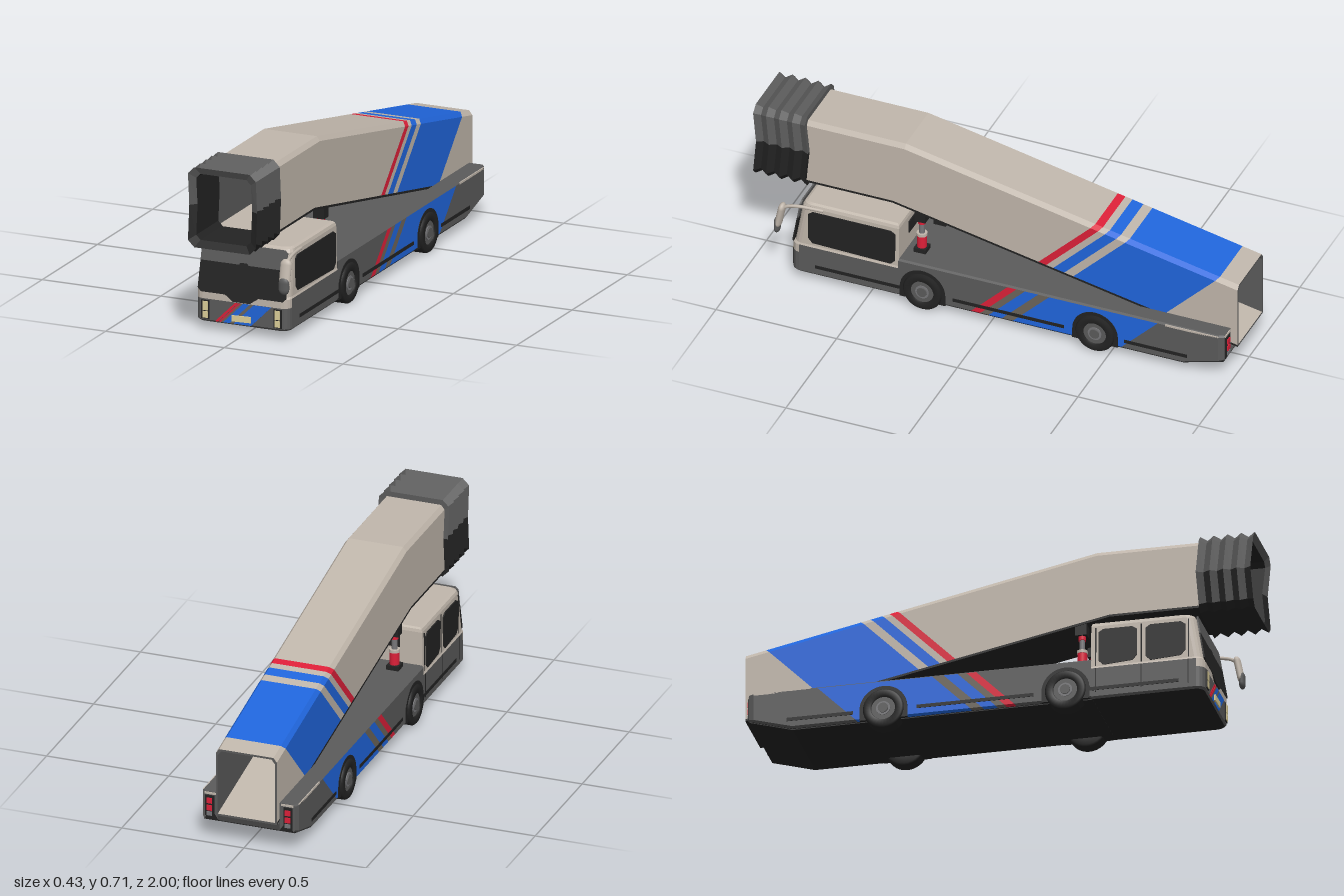
import * as THREE from 'three';

const mat = (name, color) => Object.assign(
  new THREE.MeshStandardMaterial({ color, side: THREE.DoubleSide }), { name });

export function createModel() {
  const beige = mat('beige paint', 0xc1b7ac), blue = mat('blue paint', 0x2066dd);
  const red = mat('red paint', 0xde2039), grey = mat('charcoal', 0x5b5b5b);
  const black = mat('black', 0x232323), taupe = mat('taupe', 0x6c655b);
  const lamp = mat('lamp yellow', 0xdfd19a), steel = mat('steel', 0x77777a);
  const palette = [beige, blue, red, grey, black, taupe];

  const model = new THREE.Group();
  model.name = 'boardingStairsVehicle';
  const root = new THREE.Group();
  root.name = 'vehicle';
  root.position.x = -0.01;
  model.add(root);

  const add = (name, geo, material, x = 0, y = 0, z = 0, parent = root) => {
    const m = new THREE.Mesh(geo, material);
    m.name = name;
    m.position.set(x, y, z);
    parent.add(m);
    return m;
  };
  const box = (name, material, w, h, d, x, y, z, parent) =>
    add(name, new THREE.BoxGeometry(w, h, d), material, x, y, z, parent);

  // Flat-faced skin over closed loops of [x, y, z]; pick(i, j) gives each face's colour
  const loft = (name, loops, pick, parent) => {
    const pos = [], geo = new THREE.BufferGeometry();
    for (let i = 0; i + 1 < loops.length; i++) {
      const p = loops[i], q = loops[i + 1], n = p.length;
      for (let j = 0; j < n; j++) {
        const k = (j + 1) % n;
        geo.addGroup(pos.length / 3, 6, palette.indexOf(pick(i, j)));
        pos.push(...p[j], ...p[k], ...q[k], ...p[j], ...q[k], ...q[j]);
      }
    }
    geo.setAttribute('position', new THREE.Float32BufferAttribute(pos, 3));
    geo.computeVertexNormals();
    return add(name, geo, palette, 0, 0, 0, parent);
  };
  const collapse = (loop) => {
    const c = [0, 1, 2].map((a) => loop.reduce((s, p) => s + p[a], 0) / loop.length);
    return loop.map(() => c);
  };
  // Plate from a 2D outline
  const plate = (name, material, pts, x, y, z, parent, depth = 0.006) =>
    add(name, new THREE.ExtrudeGeometry(new THREE.Shape(pts.map((p) => new THREE.Vector2(...p))),
      { depth, bevelEnabled: false }), material, x, y, z, parent);

  // Slanted livery bands: edges are planes z + y = c, shared by tunnel and chassis
  const edges = [0.118, 0.08, 0.045, -0.01, -0.055, -0.505];
  const bands = (base, gap) => [base, red, gap, blue, gap, blue, base];

  // Tunnel: outer skin from front to back, then the inner skin back to the front
  const tunnelPoints = (inset) => {
    const h = 0.125 - inset, t = 0.685 - inset, b = 0.405 + inset;
    const low = { y: b, k: 0.43, s: 0.2 }, trim = { ...low, y: b + 0.009 };
    const top = { y: t, k: 0.38, s: 0.2065 }, shoulder = { ...top, y: t - 0.018 };
    return [[-h, low], [-h, trim], [-h, shoulder], [-h + 0.014, top],
      [h - 0.014, top], [h, shoulder], [h, trim], [h, low]];
  };
  const atZ = (z) => ([x, l]) => [x, l.y + l.s * (Math.min(z, l.k) - l.k), z];
  const atKnee = ([x, l]) => [x, l.y, l.k];
  const atBand = (c) => ([x, l]) => {
    const z = (c - l.y + l.s * l.k) / (1 + l.s);
    return [x, c - z, z];
  };
  const outer = tunnelPoints(0), inner = tunnelPoints(0.008);
  const tunnelBands = [beige, ...bands(beige, beige)];
  loft('tunnel', [
    outer.map(atZ(0.79)), outer.map(atKnee), ...edges.map((c) => outer.map(atBand(c))), outer.map(atZ(-1)),
    inner.map(atZ(-1)), inner.map(atKnee), inner.map(atZ(0.79)),
  ], (i, j) => {
    if (i < 8) return j === 0 || j > 5 ? black : tunnelBands[i];
    if (i === 8) return grey;
    return j === 7 ? beige : j === 3 ? black : grey;
  });

  // Folding bellows, pinched at mid height, with the upper half lighter than the lower
  const bellowsLoop = (g, z) => {
    const h = 0.115 + g, t = 0.677 + g, b = 0.413 - g, c = 0.018 + g * 0.3, m = 0.55;
    return [[-h, m], [-h, t - c], [-h + c, t], [h - c, t], [h, t - c], [h, m],
      [h, b + c], [h - c, b], [-h + c, b], [-h, b + c]].map(([x, y]) => [x, y, y === m ? z - 0.012 : z]);
  };
  const folds = [bellowsLoop(0, 0.785), bellowsLoop(0, 0.985), bellowsLoop(0.028, 1)];
  for (let i = 1; i <= 8; i++) folds.push(bellowsLoop(i % 2 ? 0.014 : 0.029, 1 - i * 0.0268));
  folds.push(bellowsLoop(0, 0.785));
  loft('bellows', folds, (i, j) => (i > 0 && j < 5 ? grey : black));

  // Chassis: side pods beside a central deck that slopes under the tunnel
  const podPoints = (b = 0.037, h = 0.197) => [[0.125, b], [0.125, 0.2], [h - 0.008, 0.2],
    [h, 0.194], [h, b + 0.008], [h - 0.008, b]];
  const podAt = (z, b, h) => podPoints(b, h).map(([x, y]) => [x, y, z]);
  const podEnd = podAt(-0.97, 0.085, 0.188);
  const podBands = bands(grey, taupe);
  for (const s of [1, -1]) {
    const side = new THREE.Group();
    side.name = s > 0 ? 'leftSide' : 'rightSide';
    side.scale.x = s;
    root.add(side);
    loft('sidePod', [podAt(0.376),
      ...edges.map((c) => podPoints().map(([x, y]) => [x, y, c - y])),
      podAt(-0.8), podAt(-0.95, 0.079), podEnd, collapse(podEnd)],
    (i, j) => {
      if (j === 5) return black;
      return (j === 3 || j === 4) && i < 7 ? podBands[i] : grey;
    }, side);

    // Dark side slots and slim rear rail
    for (const [a, b] of [[0.72, 0.37], [0.15, -0.31], [-0.56, -0.82]])
      box('sideSlot', black, 0.008, 0.014, a - b, 0.195, 0.074, (a + b) / 2, side);
    box('rearRail', beige, 0.004, 0.008, 0.22, 0.195, 0.193, -0.84, side);
    box('rearRailEnd', beige, 0.05, 0.008, 0.006, 0.157, 0.194, -0.971, side);

    // Wheels with dark arches and stepped hubs
    for (const z of [0.275, -0.44]) {
      const disc = (name, m, r, w, x, seg) => {
        add(name, new THREE.CylinderGeometry(r, r, w, seg), m, x, 0.08, z, side).rotation.z = -Math.PI / 2;
      };
      const arch = new THREE.Shape().absarc(0, 0, 0.094, 0, Math.PI);
      arch.lineTo(-0.094, -0.043);
      arch.lineTo(0.094, -0.043);
      add('wheelArch', new THREE.ExtrudeGeometry(arch, { depth: 0.03, bevelEnabled: false, curveSegments: 24 }),
        black, 0.199, 0.08, z, side).rotation.y = -Math.PI / 2;
      const profile = [[0.045, -0.032], [0.074, -0.032], [0.08, -0.024], [0.08, 0.024],
        [0.074, 0.032], [0.05, 0.032], [0.045, 0.022]];
      add('tyre', new THREE.LatheGeometry(profile.map((p) => new THREE.Vector2(...p)), 32),
        black, 0.176, 0.08, z, side).rotation.z = -Math.PI / 2;
      disc('rim', grey, 0.048, 0.046, 0.178, 32);
      disc('hub', steel, 0.028, 0.052, 0.178, 20);
      disc('hubCap', grey, 0.02, 0.06, 0.178, 16);
    }

    // Tail lamps
    box('tailLampHousing', black, 0.036, 0.085, 0.012, 0.16, 0.143, -0.97, side);
    for (const y of [0.165, 0.135]) box('tailLamp', red, 0.022, 0.022, 0.006, 0.16, y, -0.977, side);
    box('reverseLamp', steel, 0.022, 0.016, 0.006, 0.16, 0.111, -0.977, side);

    // Headlamps
    box('headlampBezel', black, 0.034, 0.074, 0.008, 0.152, 0.083, 0.82, side);
    box('headlamp', lamp, 0.022, 0.036, 0.008, 0.152, 0.098, 0.823, side);
    box('headlamp', lamp, 0.022, 0.026, 0.008, 0.152, 0.063, 0.823, side);

    // Lift ram
    const ram = (name, m, r, y0, y1) =>
      add(name, new THREE.CylinderGeometry(r, r, y1 - y0, 20), m, 0.1, (y0 + y1) / 2, 0.318, side);
    box('ramBase', black, 0.05, 0.02, 0.05, 0.1, 0.208, 0.318, side);
    ram('ramSleeve', red, 0.019, 0.21, 0.27);
    ram('ramCollar', beige, 0.021, 0.27, 0.282);
    ram('ramRod', steel, 0.011, 0.28, 0.34);
    ram('ramTopCollar', red, 0.015, 0.325, 0.345);
    box('ramBracket', black, 0.045, 0.045, 0.045, 0.1, 0.364, 0.318, side);
  }
  plate('centralDeck', grey, [[-0.38, 0.037], [-0.38, 0.2], [0.6, 0.2], [0.985, 0.118], [0.97, 0.085], [0.8, 0.037]],
    -0.126, 0, 0, root, 0.252).rotation.y = Math.PI / 2;
  plate('underTray', black, [[-0.38, 0.033], [-0.38, 0.038], [0.8, 0.038], [0.968, 0.085], [0.968, 0.081], [0.8, 0.033]],
    -0.186, 0, 0, root, 0.372).rotation.y = Math.PI / 2;

  // Cab: stacked plan outlines with rounded front corners
  const plan = (y, h, zf, zb = 0.375, r = 0.032) => {
    const p = [[-h, y, zb]];
    for (let i = 0; i <= 4; i++) {
      const a = (i / 4) * Math.PI / 2;
      p.push([-h + r - r * Math.cos(a), y, zf - r + r * Math.sin(a)]);
    }
    return [...p, ...p.slice().reverse().map(([x, v, z]) => [-x, v, z])];
  };
  const floor = plan(0.034, 0.19, 0.814), roof = plan(0.356, 0.178, 0.764, 0.385);
  loft('cab', [collapse(floor), floor, plan(0.042, 0.197, 0.82), plan(0.125, 0.197, 0.82), plan(0.16, 0.197, 0.82),
    plan(0.168, 0.194, 0.812), plan(0.338, 0.191, 0.782), plan(0.35, 0.187, 0.775, 0.378), roof, collapse(roof)],
  (i, j) => {
    if (i === 0) return black;
    return i < 3 || (i === 3 && (j === 0 || j >= 10)) ? grey : beige;
  });

  // Windscreen, leaning back, with a lighter upper band
  const screen = new THREE.Group();
  screen.name = 'windscreen';
  screen.position.set(0, 0.165, 0.814);
  screen.rotation.x = -0.165;
  root.add(screen);
  plate('screenGlass', black, [[-0.182, 0.108], [-0.186, 0], [-0.172, -0.014], [-0.07, -0.014], [-0.035, -0.038],
    [0.035, -0.038], [0.07, -0.014], [0.172, -0.014], [0.186, 0], [0.182, 0.108], [0.02, 0.108],
    [0.014, 0.116], [-0.014, 0.116], [-0.02, 0.108]], 0, 0, 0, screen);
  plate('screenTopBand', grey, [[-0.182, 0.108], [-0.02, 0.108], [-0.014, 0.116], [0.014, 0.116], [0.02, 0.108],
    [0.182, 0.108], [0.18, 0.175], [0.168, 0.186], [-0.168, 0.186], [-0.18, 0.175]], 0, 0, 0, screen);

  // Side windows: one long pane on the left, two door panes on the right
  const pane = (x, a, b) => {
    const c = 0.018;
    plate('sideWindow', black, [[a + c, 0.172], [b - c, 0.18], [b, 0.2], [b, 0.31], [b - c, 0.322], [a + c, 0.322],
      [a, 0.31], [a, 0.19]], x, 0, 0).rotation.y = -Math.PI / 2;
  };
  pane(0.1965, 0.39, 0.75);
  pane(-0.1905, 0.405, 0.555);
  pane(-0.1905, 0.59, 0.745);
  for (const z of [0.393, 0.572, 0.757]) {
    box('doorSeam', black, 0.005, 0.16, 0.004, -0.192, 0.25, z);
    box('doorSeam', black, 0.005, 0.1, 0.004, -0.196, 0.11, z);
  }
  box('cabVent', black, 0.2, 0.05, 0.008, 0, 0.29, 0.374);

  // Front stripes and number plate
  const stripe = (m, a, b) => plate('frontStripe', m,
    [[a + 0.04, 0.04], [b + 0.04, 0.04], [b + 0.124, 0.124], [a + 0.124, 0.124]], 0, 0, 0.8195, root, 0.002);
  stripe(red, -0.152, -0.139);
  stripe(red, -0.136, -0.128);
  stripe(taupe, -0.128, -0.118);
  stripe(blue, -0.118, -0.09);
  stripe(taupe, -0.09, -0.074);
  stripe(blue, -0.074, 0);
  box('numberPlate', lamp, 0.08, 0.024, 0.008, 0, 0.063, 0.823).rotation.z = 0.03;

  // Mirror on a curved arm
  const arm = new THREE.CatmullRomCurve3([[0.188, 0.335, 0.69], [0.2, 0.338, 0.79], [0.203, 0.325, 0.84],
    [0.203, 0.29, 0.868]].map((p) => new THREE.Vector3(...p)));
  add('mirrorArm', new THREE.TubeGeometry(arm, 16, 0.007, 8), beige);
  const shell = add('mirrorShell', new THREE.CapsuleGeometry(0.023, 0.07, 6, 16), beige, 0.203, 0.282, 0.862);
  shell.scale.z = 0.6;
  shell.rotation.x = -0.2;
  const foot = add('mirrorFoot', new THREE.CapsuleGeometry(0.022, 0.025, 6, 16), grey, 0.203, 0.235, 0.874);
  foot.scale.z = 0.55;

  return model;
}
